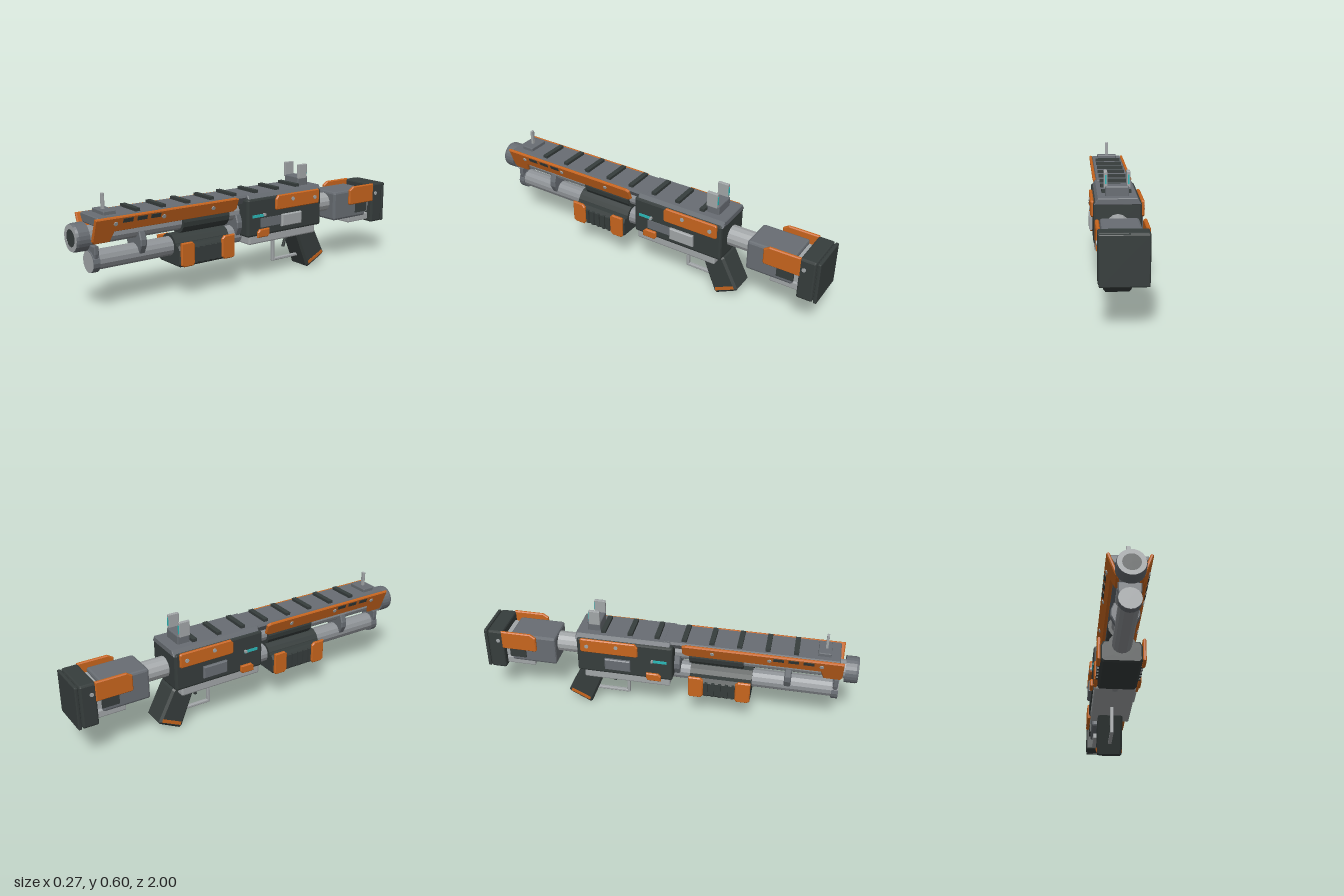
import * as THREE from 'three';
import { RoundedBoxGeometry } from 'three/addons/geometries/RoundedBoxGeometry.js';

const paint = (name, color) => {
  const m = new THREE.MeshStandardMaterial({ color, flatShading: true });
  m.name = name;
  return m;
};

export function createModel() {
  const model = new THREE.Group();
  model.name = 'blaster';
  const dark = paint('charcoal', 0x363d3c);
  const mid = paint('gunmetal', 0x686d73);
  const tubeSteel = paint('tubeSteel', 0x8e9296);
  const light = paint('steel', 0xa2a6a8);
  const orange = paint('orange', 0xc8651d);
  const cyan = paint('cyan', 0x2ab8b8);

  const add = (name, geo, mat, parent = model) => {
    const m = new THREE.Mesh(geo, mat);
    m.name = name;
    parent.add(m);
    return m;
  };

  // Box given by its limits on each axis, with softened edges
  const box = (name, mat, [x0, x1], [y0, y1], [z0, z1], r = 0) => {
    const s = [x1 - x0, y1 - y0, z1 - z0];
    const geo = r ? new RoundedBoxGeometry(...s, 1, r) : new THREE.BoxGeometry(...s);
    return add(name, geo.translate((x0 + x1) / 2, (y0 + y1) / 2, (z0 + z1) / 2), mat);
  };

  // Cylinder along z
  const rod = (name, mat, r, y, z0, z1, sides = 14) =>
    add(name, new THREE.CylinderGeometry(r, r, z1 - z0, sides)
      .rotateX(Math.PI / 2).translate(0, y, (z0 + z1) / 2), mat);

  const extrude = (pts, depth, bevel) => new THREE.ExtrudeGeometry(
    new THREE.Shape(pts.map(p => new THREE.Vector2(...p))), {
      depth: depth - 2 * bevel, bevelEnabled: bevel > 0, bevelSize: bevel,
      bevelThickness: bevel, bevelOffset: -bevel, bevelSegments: 1,
    }).translate(0, 0, bevel - depth / 2);

  // (z, y) outline extruded along x
  const slab = (name, mat, pts, x, width, bevel = 0.005, parent = model) =>
    add(name, extrude(pts, width, bevel).rotateY(-Math.PI / 2).translate(x, 0, 0), mat, parent);

  // Right half of an (x, y) outline, mirrored and extruded along z
  const beam = (name, mat, half, z0, z1, bevel = 0.005) => {
    const pts = [...half, ...half.map(([x, y]) => [-x, y]).reverse()];
    return add(name, extrude(pts, z1 - z0, bevel).translate(0, 0, (z0 + z1) / 2), mat);
  };

  const screw = (x, y, z, s, parent = model) =>
    add('screw', new THREE.CylinderGeometry(0.011, 0.011, 0.006, 8)
      .rotateZ(Math.PI / 2).translate(x + s * 0.001, y, z), light, parent);

  // Barrel, muzzle and magazine tube
  rod('barrel', tubeSteel, 0.049, 0.385, 0, 0.95);
  add('muzzle', new THREE.LatheGeometry([
    [0.044, 0.94], [0.07, 0.93], [0.07, 0.985], [0.066, 0.997],
  ].map(p => new THREE.Vector2(...p)), 24).rotateX(Math.PI / 2).translate(0, 0.385, 0), mid);
  add('muzzleFace', new THREE.RingGeometry(0.043, 0.066, 24).translate(0, 0.385, 0.997), light);
  add('muzzleBore', new THREE.CircleGeometry(0.044, 24).translate(0, 0.385, 0.996), dark);
  rod('magazineTube', tubeSteel, 0.05, 0.26, 0, 0.89);
  rod('magazineCap', mid, 0.055, 0.255, 0.875, 0.91, 16);
  add('magazineCapFace', new THREE.CircleGeometry(0.054, 16).translate(0, 0.255, 0.912), light);
  for (const z of [0.645, 0.058])
    beam('barrelClamp', mid, [[0.045, 0.255], [0.07, 0.305], [0.07, 0.335], [0.055, 0.375]], z - 0.018, z + 0.018);
  beam('frontClamp', mid, [[0.045, 0.26], [0.055, 0.3], [0.055, 0.34]], 0.88, 0.905);

  // Pump grip
  rod('barrelSleeve', dark, 0.066, 0.385, 0.125, 0.41, 16);
  rod('pumpSleeve', dark, 0.068, 0.257, 0.13, 0.46, 16);
  beam('pump', dark, [[0.09, 0.165], [0.104, 0.18], [0.104, 0.255], [0.09, 0.28]], 0.13, 0.46, 0.008);
  for (const s of [-1, 1]) {
    for (let i = 0; i < 5; i++) {
      const z = 0.225 + i * 0.036;
      box('pumpRib', dark, s < 0 ? [-0.114, -0.1] : [0.1, 0.114], [0.18, 0.262], [z - 0.008, z + 0.008]);
    }
    slab('pumpPadFront', orange, [[0.46, 0.18], [0.445, 0.17], [0.39, 0.17], [0.38, 0.185], [0.38, 0.28], [0.395, 0.295], [0.46, 0.295]], s * 0.112, 0.018);
    slab('pumpPadRear', orange, [[0.21, 0.185], [0.195, 0.17], [0.14, 0.17], [0.13, 0.18], [0.13, 0.295], [0.195, 0.295], [0.21, 0.28]], s * 0.112, 0.018);
  }

  // Top handguard with its slanted side strips
  beam('handguard', mid, [[0.07, 0.435], [0.092, 0.47], [0.086, 0.483]], -0.01, 0.9);
  for (const s of [-1, 1]) {
    const strip = new THREE.Group();
    strip.name = 'sideStrip';
    strip.position.set(s * 0.087, 0.442, 0);
    strip.rotation.z = -s * 0.36;
    model.add(strip);
    slab('strip', orange, [[0.92, -0.08], [0.91, -0.095], [0.825, -0.095], [0.808, -0.04],
      [0.11, -0.04], [0.09, -0.025], [0.09, 0.032], [0.11, 0.04], [0.92, 0.04]], 0, 0.017, 0.005, strip);
    for (const z of [0.745, 0.668, 0.592])
      add('stripSlot', new THREE.BoxGeometry(0.006, 0.022, 0.054).translate(s * 0.008, 0.018, z), dark, strip);
    for (const z of [0.81, 0.545, 0.25]) screw(s * 0.009, 0.006, z, s, strip);
  }

  // Receiver
  box('receiver', dark, [-0.118, 0.118], [0.255, 0.462], [-0.475, 0.045], 0.012);
  beam('receiverTop', mid, [[0.114, 0.45], [0.096, 0.482]], -0.48, 0.03, 0.004);
  box('lowerPlate', light, [-0.112, 0.112], [0.213, 0.265], [-0.44, 0.03], 0.008);
  for (const s of [-1, 1]) {
    slab('receiverGuard', orange, [[-0.14, 0.392], [-0.147, 0.385], [-0.445, 0.385], [-0.452, 0.392],
      [-0.452, 0.458], [-0.445, 0.465], [-0.155, 0.465], [-0.14, 0.445]], s * 0.123, 0.017);
    for (const [z, y] of [[-0.255, 0.435], [-0.415, 0.423]]) screw(s * 0.132, y, z, s);
    slab('sidePort', s > 0 ? light : mid, [[-0.18, 0.29], [-0.32, 0.29], [-0.32, 0.357], [-0.18, 0.357]], s * 0.126, 0.02);
    slab('sideTab', orange, [[-0.015, 0.25], [-0.085, 0.25], [-0.095, 0.262], [-0.095, 0.295], [-0.03, 0.295], [-0.015, 0.28]], s * 0.124, 0.018);
    box('glowStrip', cyan, [s * 0.119 - 0.003, s * 0.119 + 0.003], [0.36, 0.375], [-0.066, 0.014]);
    box('sidePin', light, [s * 0.126 - 0.008, s * 0.126 + 0.008], [0.366, 0.378], [-0.068, -0.058]);
  }
  box('portTrack', mid, [0.115, 0.122], [0.302, 0.352], [-0.185, -0.04]);

  // Rail slats and sights
  for (let i = 0; i < 8; i++) {
    const z = -0.335 + i * 0.1445;
    box('railSlat', dark, [-0.074, 0.074], [0.475, 0.498], [z - 0.013, z + 0.013]);
  }
  box('frontSightBase', mid, [-0.058, 0.058], [0.475, 0.502], [0.785, 0.852], 0.004);
  box('frontSightPost', light, [-0.01, 0.01], [0.49, 0.58], [0.818, 0.832], 0.003);
  box('rearSightBase', mid, [-0.058, 0.058], [0.475, 0.531], [-0.425, -0.355], 0.006);
  for (const s of [-1, 1]) {
    box('rearSightPost', light, [s * 0.056 - 0.009, s * 0.056 + 0.009], [0.52, 0.601], [-0.415, -0.355], 0.003);
    box('rearSightMark', cyan, [s * 0.056 - 0.004, s * 0.056 + 0.004], [0.54, 0.585], [-0.418, -0.413]);
  }

  // Grip, trigger and guard
  slab('grip', dark, [[-0.335, 0.225], [-0.455, 0.25], [-0.47, 0.235], [-0.555, 0.07], [-0.548, 0.058], [-0.437, 0.001], [-0.424, 0.008]], 0, 0.142, 0.012);
  for (const s of [-1, 1])
    slab('gripBand', orange, [[-0.435, 0.02], [-0.43, 0.038], [-0.533, 0.088], [-0.541, 0.071]], s * 0.069, 0.008, 0);
  box('guardFront', light, [-0.01, 0.01], [0.06, 0.23], [-0.232, -0.216], 0.004);
  box('guardBottom', light, [-0.01, 0.01], [0.06, 0.076], [-0.42, -0.216], 0.004);
  slab('trigger', dark, [[-0.293, 0.13], [-0.308, 0.13], [-0.327, 0.185], [-0.312, 0.185]], 0, 0.016, 0.002);

  // Stock
  rod('stockTube', light, 0.055, 0.35, -0.63, -0.46);
  box('stockBody', mid, [-0.093, 0.093], [0.25, 0.416], [-0.86, -0.605], 0.012);
  box('stockSpine', light, [-0.08, 0.08], [0.27, 0.395], [-0.91, -0.84]);
  box('stockUnderside', light, [-0.08, 0.08], [0.218, 0.26], [-0.9, -0.735], 0.006);
  box('buttPad', dark, [-0.114, 0.114], [0.205, 0.437], [-0.978, -0.893], 0.01);
  box('buttPlate', dark, [-0.11, 0.11], [0.203, 0.435], [-1, -0.982], 0.005);
  box('buttCore', dark, [-0.1, 0.1], [0.215, 0.425], [-0.985, -0.975]);
  for (const s of [-1, 1]) {
    slab('stockGuard', orange, [[-0.705, 0.342], [-0.712, 0.335], [-0.9, 0.335], [-0.9, 0.44], [-0.735, 0.44], [-0.705, 0.42]], s * 0.109, 0.018);
    box('stockInset', dark, [s * 0.094 - 0.006, s * 0.094 + 0.006], [0.278, 0.33], [-0.865, -0.775]);
    screw(s * 0.115, 0.38, -0.92, s);
  }
  return model;
}
